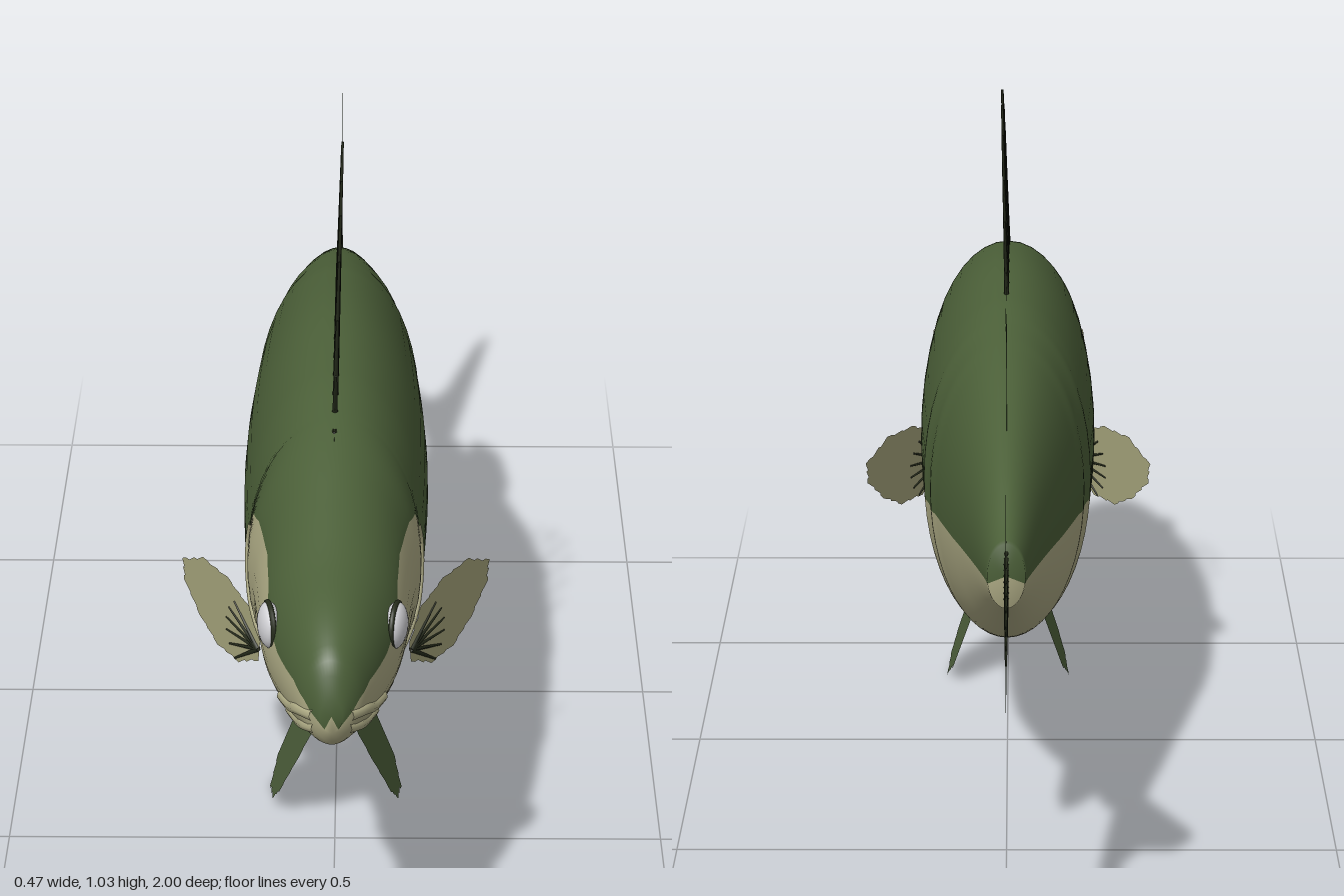
import * as THREE from 'three';

const mat = (name, color, side = THREE.FrontSide) => {
  const m = new THREE.MeshStandardMaterial({ color, side });
  m.name = name;
  return m;
};

// Body stations from nose to tail: z, top, bottom, half width
const STATIONS = [
  [1, 0.495, 0.445, 0.016], [0.985, 0.54, 0.42, 0.035], [0.96, 0.562, 0.408, 0.05], [0.9, 0.59, 0.387, 0.073],
  [0.8, 0.62, 0.357, 0.1], [0.7, 0.655, 0.333, 0.113], [0.6, 0.69, 0.298, 0.121], [0.5, 0.72, 0.25, 0.129],
  [0.4, 0.742, 0.213, 0.137], [0.2, 0.76, 0.183, 0.142], [0, 0.745, 0.195, 0.135], [-0.1, 0.725, 0.215, 0.126],
  [-0.2, 0.7, 0.245, 0.11], [-0.3, 0.667, 0.285, 0.091], [-0.4, 0.63, 0.333, 0.071], [-0.5, 0.59, 0.38, 0.052],
  [-0.6, 0.546, 0.422, 0.034], [-0.64, 0.532, 0.434, 0.028],
];
// Height of the line between back and belly colour: z, y
const COLOUR_LINE = [
  [1, 0.45], [0.985, 0.485], [0.95, 0.502], [0.88, 0.51], [0.82, 0.53], [0.76, 0.562], [0.7, 0.58], [0.6, 0.585],
  [0.55, 0.575], [0.525, 0.55], [0.515, 0.51], [0.51, 0.46], [0.5, 0.425], [0.45, 0.418], [0.1, 0.428],
  [-0.34, 0.45], [-0.64, 0.472],
];

// Interpolates a column of a table sorted by falling z
function sample(table, z, col, smooth) {
  let i = 0;
  while (i < table.length - 2 && z < table[i + 1][0]) i++;
  const a = table[i], b = table[i + 1], d = b[0] - a[0];
  const t = THREE.MathUtils.clamp((z - a[0]) / d, 0, 1);
  if (!smooth) return a[col] + (b[col] - a[col]) * t;
  const slope = (k) => {
    const p = table[Math.max(k - 1, 0)], q = table[Math.min(k + 1, table.length - 1)];
    return (q[col] - p[col]) / (q[0] - p[0]) * d;
  };
  const t2 = t * t, t3 = t2 * t;
  return (2 * t3 - 3 * t2 + 1) * a[col] + (t3 - 2 * t2 + t) * slope(i)
    + (3 * t2 - 2 * t3) * b[col] + (t3 - t2) * slope(i + 1);
}

function section(z) {
  const top = sample(STATIONS, z, 1, true), bottom = sample(STATIONS, z, 2, true);
  // Two soft folds behind the middle, and a raised gill cover
  const bump = (c, w) => Math.exp(-(((z - c) / w) ** 2));
  const swell = 1 + 0.025 * (bump(-0.08, 0.02) + bump(-0.16, 0.02)) + 0.04 * bump(0.57, 0.05);
  return { c: (top + bottom) / 2, h: (top - bottom) / 2, w: sample(STATIONS, z, 3, true) * swell };
}

function surfaceX(z, y) {
  const { c, h, w } = section(z);
  return w * Math.sqrt(Math.max(0, 1 - ((y - c) / h) ** 2));
}

// Lofted body whose rings always have a vertex on the colour line
function bodyGeometry() {
  const K = 12, ring = 4 * K, steps = 164, pos = [], green = [], pale = [];
  for (let i = -1; i <= steps + 1; i++) {
    const z = 1 - 1.64 * THREE.MathUtils.clamp(i / steps, 0, 1);
    const { c, h, w } = section(z);
    const s = i < 0 || i > steps ? 0 : 1;
    const split = Math.acos(THREE.MathUtils.clamp((sample(COLOUR_LINE, z, 1) - c) / h, -0.95, 0.95));
    for (let j = 0; j < ring; j++) {
      const k = j <= 2 * K ? j : ring - j;
      const a = k <= K ? split * k / K : split + (Math.PI - split) * (k - K) / K;
      pos.push((j <= 2 * K ? 1 : -1) * s * w * Math.sin(a), c + s * h * Math.cos(a), z);
    }
  }
  for (let i = 0; i < steps + 2; i++) {
    for (let j = 0; j < ring; j++) {
      const a = i * ring + j, b = i * ring + (j + 1) % ring;
      (j < K || j >= 3 * K ? green : pale).push(a, b, a + ring, b, b + ring, a + ring);
    }
  }
  const g = new THREE.BufferGeometry();
  g.setAttribute('position', new THREE.Float32BufferAttribute(pos, 3));
  g.setIndex([...green, ...pale]);
  g.addGroup(0, green.length, 0);
  g.addGroup(green.length, pale.length, 1);
  g.computeVertexNormals();
  return g;
}

// Flat fin from a z,y outline; the first `free` edges are notched, xAt leans it
function finGeometry(points, free, xAt) {
  const cz = points.reduce((s, p) => s + p[0], 0) / points.length;
  const cy = points.reduce((s, p) => s + p[1], 0) / points.length;
  const outline = [];
  points.forEach((p, i) => {
    outline.push(new THREE.Vector2(...p));
    if (i >= free) return;
    const q = points[i + 1];
    for (const [t, pull] of [[0.33, 0.04], [0.4, 0], [0.72, 0.04], [0.8, 0]]) {
      const z = p[0] + (q[0] - p[0]) * t, y = p[1] + (q[1] - p[1]) * t;
      outline.push(new THREE.Vector2(z + (cz - z) * pull, y + (cy - y) * pull));
    }
  });
  const g = new THREE.ShapeGeometry(new THREE.Shape(outline));
  const p = g.attributes.position;
  for (let i = 0; i < p.count; i++) {
    const z = p.getX(i), y = p.getY(i);
    p.setXYZ(i, xAt(z, y), y, z);
  }
  g.computeVertexNormals();
  return g;
}

export function createModel() {
  const green = mat('back green', 0x4b5f38), pale = mat('belly cream', 0xaeab85);
  const finGreen = mat('fin green', 0x4c5f3a, THREE.DoubleSide);
  const finPale = mat('fin cream', 0xa5a37b, THREE.DoubleSide);
  const dark = mat('spine dark', 0x262c1c), white = mat('eye white', 0xd2d2d6);
  const model = new THREE.Group();
  const add = (name, geometry, material) => {
    const m = new THREE.Mesh(geometry, material);
    m.name = name;
    model.add(m);
    return m;
  };
  // Thin tapering ray between two points
  const ray = (name, from, to, r) => {
    const a = new THREE.Vector3(...from), b = new THREE.Vector3(...to);
    const m = add(name, new THREE.CylinderGeometry(r * 0.4, r, a.distanceTo(b), 5), dark);
    m.position.copy(a).add(b).multiplyScalar(0.5);
    m.quaternion.setFromUnitVectors(new THREE.Vector3(0, 1, 0), b.sub(a).normalize());
  };

  add('body', bodyGeometry(), [green, pale]);

  // Spiny front dorsal fin
  const lean = (z, y) => Math.max(0, y - 0.72) * 0.03;
  add('frontDorsalFin', finGeometry([
    [0.6, 0.69], [0.49, 0.775], [0.41, 0.83], [0.35, 0.85], [0.31, 0.905], [0.25, 0.93], [0.17, 0.91], [0.1, 0.885],
    [0.01, 0.82], [-0.04, 0.765], [-0.1, 0.73], [-0.1, 0.7], [0.2, 0.74], [0.45, 0.71],
  ], 10, lean), finGreen);
  const spineTips = [
    [0.585, 0.72], [0.54, 0.79], [0.495, 0.86], [0.44, 0.93], [0.38, 0.98], [0.315, 1.01], [0.245, 1.03],
    [0.17, 1.02], [0.1, 0.985], [0.04, 0.925], [-0.015, 0.87],
  ];
  for (const [z, y] of spineTips) {
    const baseZ = 0.245 + (z - 0.245) * 0.84;
    ray('dorsalSpine', [0, 0.7, baseZ], [lean(z, y), y, z], 0.005);
  }

  add('rearDorsalFin', finGeometry([
    [-0.14, 0.715], [-0.17, 0.76], [-0.25, 0.79], [-0.34, 0.775], [-0.42, 0.75], [-0.49, 0.7], [-0.55, 0.64],
    [-0.51, 0.58], [-0.34, 0.63], [-0.14, 0.69],
  ], 6, lean), finGreen);
  add('analFin', finGeometry([
    [-0.25, 0.26], [-0.33, 0.23], [-0.42, 0.21], [-0.49, 0.225], [-0.52, 0.285], [-0.525, 0.35], [-0.5, 0.4],
    [-0.38, 0.36], [-0.25, 0.29],
  ], 5, () => 0), finGreen);

  // Forked tail with fanned rays
  add('tailFin', finGeometry([
    [-0.62, 0.525], [-0.8, 0.635], [-0.965, 0.735], [-0.995, 0.74], [-0.99, 0.67], [-0.93, 0.58], [-0.887, 0.52],
    [-0.89, 0.455], [-0.93, 0.405], [-1, 0.365], [-0.995, 0.3], [-0.83, 0.37], [-0.62, 0.44],
  ], 0, () => 0), finGreen);
  for (let i = 0; i < 9; i++) {
    const a = (i - 4) * 0.12, r = 0.18 - 0.008 * (i % 3);
    ray('tailRay', [0, 0.483 + (i - 4) * 0.008, -0.63], [0, 0.483 + r * Math.sin(a), -0.64 - r * Math.cos(a)], 0.004);
  }

  for (const side of [1, -1]) {
    const label = side > 0 ? 'left' : 'right';
    // Paired fins
    add(label + 'PelvicFin', finGeometry([
      [0.525, 0.225], [0.48, 0.13], [0.435, 0.05], [0.4, 0.02], [0.33, 0.005], [0.283, 0.035], [0.305, 0.22], [0.4, 0.24],
    ], 5, (z, y) => side * (0.02 + (0.23 - y) * 0.37)), finGreen);
    const pectoralX = (z) => side * (0.112 + (0.52 - z) * 0.57);
    add(label + 'PectoralFin', finGeometry([
      [0.52, 0.35], [0.49, 0.395], [0.43, 0.415], [0.36, 0.415], [0.3, 0.385], [0.305, 0.35], [0.35, 0.31],
      [0.4, 0.285], [0.46, 0.285], [0.515, 0.315],
    ], 9, pectoralX), finPale);
    for (let i = 0; i < 6; i++) {
      const a = (i - 2.5) * 0.3, z = 0.515 - 0.09 * Math.cos(a);
      ray(label + 'PectoralRay', [pectoralX(0.515), 0.335, 0.515], [pectoralX(z), 0.335 + 0.07 * Math.sin(a), z], 0.004);
    }

    // Eye with a dark rim
    const eye = new THREE.Group();
    eye.name = label + 'Eye';
    const ball = new THREE.Mesh(new THREE.SphereGeometry(0.034, 24, 16), white);
    ball.name = 'eyeball';
    ball.scale.z = 0.5;
    const rim = new THREE.Mesh(new THREE.TorusGeometry(0.033, 0.004, 8, 28), dark);
    rim.name = 'eyeRim';
    eye.add(ball, rim);
    eye.position.set(side * (surfaceX(0.822, 0.525) - 0.001), 0.525, 0.822);
    eye.rotation.y = side * (Math.PI / 2 - 0.22);
    model.add(eye);

    // Raised lips and gill edge following the skin
    const ridge = (name, pts, r) => {
      const path = pts.map(([z, y]) => new THREE.Vector3(side * (surfaceX(z, y) - r * 0.3), y, z));
      add(name, new THREE.TubeGeometry(new THREE.CatmullRomCurve3(path), 24, r, 8), pale);
    };
    ridge(label + 'UpperLip', [[0.992, 0.468], [0.96, 0.462], [0.92, 0.447], [0.87, 0.437]], 0.009);
    ridge(label + 'LowerLip', [[0.99, 0.447], [0.96, 0.437], [0.92, 0.423], [0.87, 0.415]], 0.008);
    ridge(label + 'JawFold', [[0.9, 0.405], [0.85, 0.397], [0.8, 0.39], [0.75, 0.4]], 0.006);
    ridge(label + 'GillEdge', [[0.54, 0.555], [0.522, 0.52], [0.528, 0.47], [0.56, 0.42], [0.6, 0.375], [0.66, 0.345]], 0.006);
  }
  return model;
}
